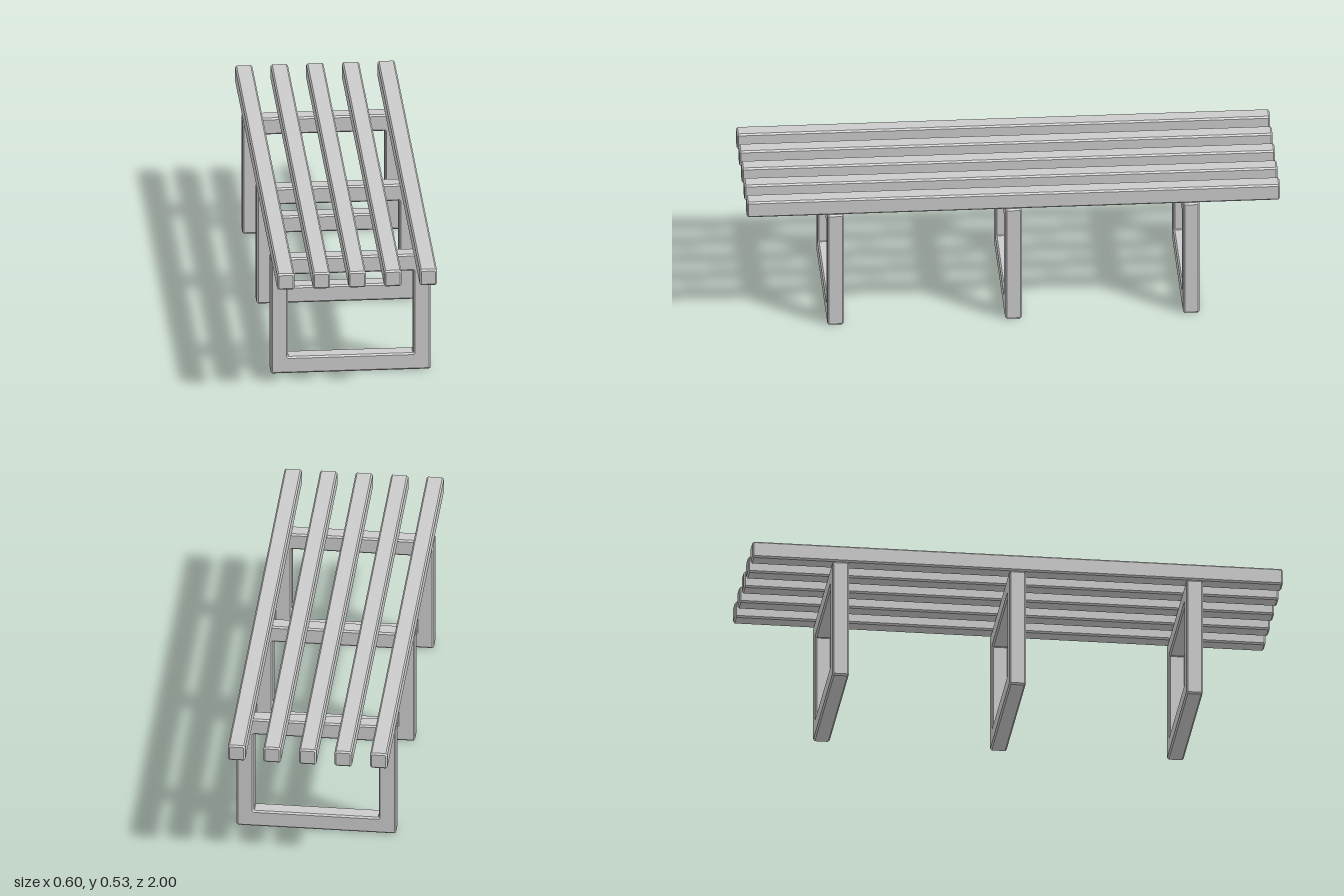
import * as THREE from 'three';

const BEVEL = 0.006;

// Rectangle with cut corners, drawn on a Shape or Path
function cutRect(path, x0, y0, x1, y1, c) {
  path.moveTo(x0 + c, y0);
  path.lineTo(x1 - c, y0);
  path.lineTo(x1, y0 + c);
  path.lineTo(x1, y1 - c);
  path.lineTo(x1 - c, y1);
  path.lineTo(x0 + c, y1);
  path.lineTo(x0, y1 - c);
  path.lineTo(x0, y0 + c);
  path.closePath();
  return path;
}

// Chamfered solid with its outer size given, centred along z
function chamferedBar(x0, y0, x1, y1, length, hole) {
  const b = BEVEL;
  const shape = cutRect(new THREE.Shape(), x0 + b, y0 + b, x1 - b, y1 - b, b * 0.414);
  if (hole) shape.holes.push(hole);
  const geometry = new THREE.ExtrudeGeometry(shape, {
    depth: length - 2 * b,
    bevelEnabled: true,
    bevelThickness: b,
    bevelSize: b,
    bevelSegments: 1,
  });
  geometry.translate(0, 0, -length / 2 + b);
  return geometry;
}

export function createModel() {
  const group = new THREE.Group();
  group.name = 'slattedBench';
  const material = new THREE.MeshStandardMaterial({ color: 0xcccccc, flatShading: true });

  // Seat: five long slats
  const slatGeometry = chamferedBar(-0.0325, 0.469, 0.0325, 0.534, 2);
  for (let i = -2; i <= 2; i++) {
    const slat = new THREE.Mesh(slatGeometry, material);
    slat.name = `seatSlat${i + 3}`;
    slat.position.x = i * 0.1337;
    group.add(slat);
  }

  // Legs: three closed rectangular frames
  const opening = cutRect(new THREE.Path(), -0.241, 0.061, 0.241, 0.407, BEVEL);
  const frameGeometry = chamferedBar(-0.3, 0, 0.3, 0.468, 0.062, opening);
  for (let i = -1; i <= 1; i++) {
    const frame = new THREE.Mesh(frameGeometry, material);
    frame.name = `legFrame${i + 2}`;
    frame.position.z = i * 0.667;
    group.add(frame);
  }

  return group;
}
